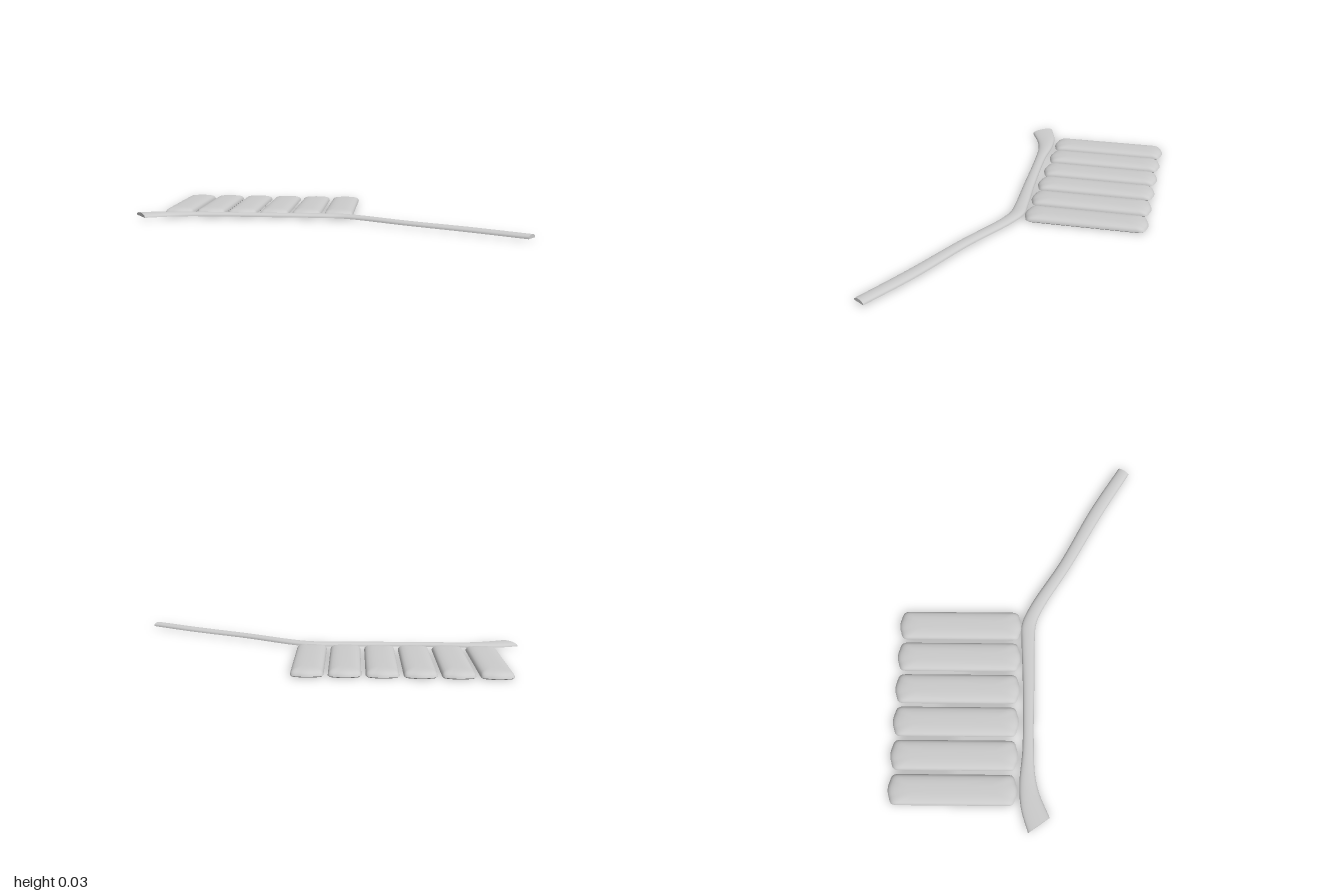
import * as THREE from 'three';
import { toCreasedNormals } from 'three/addons/utils/BufferGeometryUtils.js';

// Skin a stack of closed loops and cap both ends
function loft(rings) {
  const n = rings[0].length, pos = [], idx = [];
  const K = 100; // built large so that nearby points stay distinct when normals are creased
  rings.forEach(r => r.forEach(p => pos.push(p.x * K, p.y * K, p.z * K)));
  for (let j = 0; j < rings.length - 1; j++) {
    for (let i = 0; i < n; i++) {
      const k = (i + 1) % n, a = j * n + i, b = j * n + k;
      idx.push(a, b, a + n, b, b + n, a + n);
    }
  }
  [0, rings.length - 1].forEach((j, end) => {
    const c = new THREE.Vector3();
    rings[j].forEach(p => c.addScaledVector(p, K / n));
    const ci = pos.length / 3;
    pos.push(c.x, c.y, c.z);
    for (let i = 0; i < n; i++) {
      const a = j * n + i, b = j * n + (i + 1) % n;
      idx.push(ci, end ? a : b, end ? b : a);
    }
  });
  const g = new THREE.BufferGeometry();
  g.setAttribute('position', new THREE.Float32BufferAttribute(pos, 3));
  g.setIndex(idx);
  return toCreasedNormals(g, 0.7).scale(1 / K, 1 / K, 1 / K);
}

// Rounded slat: flat underside, softly crowned top, bowed ends
function slatGeometry() {
  const a = 0.069, b = 0.287;
  const s = new THREE.Shape();
  s.moveTo(a, -0.245);
  s.lineTo(a, 0.245);
  s.bezierCurveTo(a, 0.272, 0.056, 0.275, 0.035, 0.28);
  s.quadraticCurveTo(0, 0.294, -0.035, 0.28);
  s.bezierCurveTo(-0.056, 0.275, -a, 0.272, -a, 0.245);
  s.lineTo(-a, -0.245);
  s.bezierCurveTo(-a, -0.272, -0.056, -0.275, -0.035, -0.28);
  s.quadraticCurveTo(0, -0.294, 0.035, -0.28);
  s.bezierCurveTo(0.056, -0.275, a, -0.272, a, -0.245);
  const outline = s.getPoints(8);
  if (outline[0].distanceTo(outline[outline.length - 1]) < 1e-6) outline.pop();
  // height, inset across, inset along
  const levels = [
    [0, 0.005, 0.007], [0.005, 0, 0], [0.011, 0.001, 0.003], [0.017, 0.004, 0.009],
    [0.022, 0.009, 0.018], [0.026, 0.018, 0.032], [0.029, 0.033, 0.055], [0.03, 0.05, 0.09],
  ];
  return loft(levels.map(([y, iu, iv]) => outline.map(p =>
    new THREE.Vector3(p.x * (1 - iu / a), y, -p.y * (1 - iv / b)))));
}

// Bent strip with a domed top, swept between its two edge curves
function stripGeometry() {
  const edge = pts => new THREE.CatmullRomCurve3(pts.map(([x, z]) => new THREE.Vector3(x, 0, z)));
  const back = edge([[-0.775, 0.5], [-0.7, 0.415], [-0.61, 0.35], [-0.475, 0.28], [-0.235, 0.13],
    [-0.037, -0.003], [0.032, -0.045], [0.128, -0.061], [0.406, -0.061], [0.727, -0.083], [1, -0.083]]);
  const front = edge([[-0.668, 0.545], [-0.6, 0.447], [-0.54, 0.388], [-0.406, 0.297], [-0.18, 0.158],
    [-0.005, 0.05], [0.07, 0.011], [0.155, -0.003], [0.406, -0.005], [0.727, -0.021], [1, -0.024]]);
  const rings = [], steps = 80, sides = 14;
  for (let j = 0; j <= steps; j++) {
    const p = back.getPoint(j / steps), q = front.getPoint(j / steps), ring = [];
    for (let i = 0; i <= sides; i++) {
      const t = Math.PI * i / sides;
      const v = p.clone().lerp(q, (1 - Math.cos(t)) / 2);
      v.y = 0.007 + 0.017 * Math.pow(Math.max(0, Math.sin(t)), 0.8);
      ring.push(v);
    }
    rings.push(ring);
  }
  return loft(rings);
}

export function createModel() {
  const model = new THREE.Group();
  const grey = new THREE.MeshStandardMaterial({ color: 0xcccccc });

  // Row of six parallel slats
  const slats = new THREE.Group();
  slats.name = 'slats';
  const geo = slatGeometry();
  for (let i = 0; i < 6; i++) {
    const slat = new THREE.Mesh(geo, grey);
    slat.name = 'slat' + (i + 1);
    slat.position.set(-0.795 + 0.133 * i, 0, 0.115 - 0.08 * i);
    slat.rotation.y = 0.556;
    slats.add(slat);
  }
  model.add(slats);

  // Curved strip running beside the slats
  const strip = new THREE.Mesh(stripGeometry(), grey);
  strip.name = 'curvedStrip';
  model.add(strip);
  return model;
}
